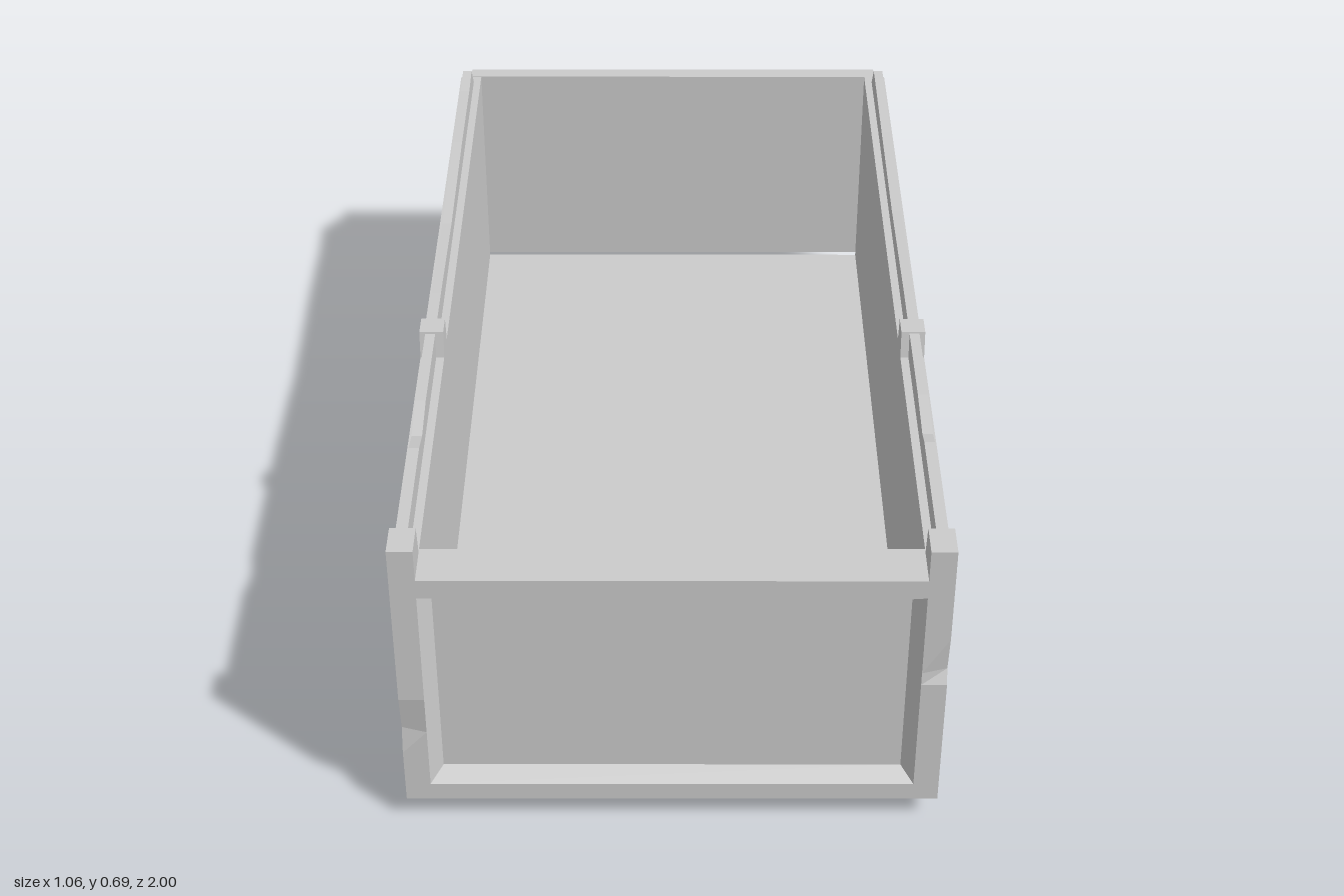
import * as THREE from 'three';

const material = new THREE.MeshStandardMaterial({ color: 0xcccccc, flatShading: true });

function add(parent, name, geometry) {
  const mesh = new THREE.Mesh(geometry, material);
  mesh.name = name;
  parent.add(mesh);
  return mesh;
}

// Box given by its min and max on each axis
function box(parent, name, x0, x1, y0, y1, z0, z1) {
  const g = new THREE.BoxGeometry(Math.abs(x1 - x0), y1 - y0, z1 - z0);
  g.translate((x0 + x1) / 2, (y0 + y1) / 2, (z0 + z1) / 2);
  return add(parent, name, g);
}

// Rectangle as a counter-clockwise ring at depth w; the top edge may sag at one point
function ring(u0, u1, v0, v1, w, sagU = 0, sagV = v1) {
  return [[u0, v0, w], [u1, v0, w], [u1, v1, w], [sagU, sagV, w], [u0, v1, w]];
}

// Skin a series of rings facing +w, closing the last one and optionally the first
function loft(rings, closeBack = true) {
  const p = [];
  const tri = (a, b, c) => p.push(...a, ...b, ...c);
  const n = rings[0].length;
  for (let r = 0; r + 1 < rings.length; r++) {
    for (let i = 0; i < n; i++) {
      const j = (i + 1) % n;
      const [a, b, c, d] = [rings[r][i], rings[r][j], rings[r + 1][j], rings[r + 1][i]];
      tri(a, b, c);
      tri(a, c, d);
    }
  }
  // fan from the sag point so the cap stays inside the outline
  const fan = (q, flip) => [[4, 0], [0, 1], [1, 2]].forEach(([a, b]) =>
    flip ? tri(q[3], q[b], q[a]) : tri(q[3], q[a], q[b]));
  fan(rings[rings.length - 1], false);
  if (closeBack) fan(rings[0], true);
  const g = new THREE.BufferGeometry();
  g.setAttribute('position', new THREE.Float32BufferAttribute(p, 3));
  g.computeVertexNormals();
  return g;
}

// Extrude a (z, y) outline sideways between two x values
function sideExtrude(points, xMin, xMax, hole) {
  const shape = new THREE.Shape(points.map(([z, y]) => new THREE.Vector2(z, y)));
  if (hole) shape.holes.push(new THREE.Path(hole.map(([z, y]) => new THREE.Vector2(z, y))));
  const g = new THREE.ExtrudeGeometry(shape, { depth: xMax - xMin, bevelEnabled: false });
  return g.rotateY(-Math.PI / 2).translate(xMax, 0, 0);
}

function sideExtrudeAt(points, side, inner, outer, hole) {
  return side > 0 ? sideExtrude(points, inner, outer, hole) : sideExtrude(points, -outer, -inner, hole);
}

function createSide(side) {
  const group = new THREE.Group();
  group.name = side > 0 ? 'leftSide' : 'rightSide';

  // Frame with chipped front edge, and chipped lower edge on one side
  const lowerChips = side > 0
    ? [[-0.27, 0.055], [-0.22, 0.083], [-0.1, 0.068], [0, 0.082], [0.05, 0.055],
      [0.55, 0.055], [0.64, 0.092], [0.73, 0.055]]
    : [];
  const frontChip = side > 0
    ? [[1, 0.36], [0.985, 0.39], [1, 0.475]]
    : [[1, 0.18], [0.985, 0.235], [1, 0.32]];
  const outline = [[-0.96, 0.055], ...lowerChips, [1, 0.055], ...frontChip, [1, 0.62], [-0.96, 0.62]];
  const opening = [[-0.875, 0.14], [-0.875, 0.585], [0.92, 0.585], [0.92, 0.14]];
  const frame = sideExtrudeAt(outline, side, 0.48, 0.53, opening);
  const pos = frame.attributes.position;
  for (let i = 0; i < pos.count; i++) {
    // chips run out to nothing at the inner face
    if (Math.abs(pos.getX(i)) < 0.5) {
      if (pos.getY(i) < 0.1) pos.setY(i, 0.055);
      if (pos.getZ(i) > 0.95) pos.setZ(i, 1);
    }
  }
  frame.computeVertexNormals();
  add(group, 'sideFrame', frame);

  // Sloped recess, with u running along -z on the left and +z on the right
  const span = (z0, z1) => (side > 0 ? [-z1, -z0] : [z0, z1]);
  const recess = loft([
    ring(...span(-0.875, 0.92), 0.14, 0.585, 0.53),
    ring(...span(-0.85, 0.895), 0.147, 0.557, 0.495),
  ], false);
  add(group, 'recessedPanel', recess.rotateY(side * Math.PI / 2));
  // Inner skin closing the wall behind the recess
  box(group, 'innerSkin', side * 0.48, side * 0.49, 0.1, 0.61, -0.93, 0.95);

  // Ribs and the long horizontal bar
  for (const z of [0.485, 0.035, -0.415]) {
    box(group, 'sideRib', side * 0.49, side * 0.526, 0.145, 0.58, z - 0.032, z + 0.032);
  }
  box(group, 'sideBar', side * 0.49, side * 0.515, 0.258, 0.292, -0.862, 0.9);

  // Worn top board
  const wear = side > 0
    ? [[-0.85, 0.675], [-0.6, 0.668], [-0.25, 0.662], [0.1, 0.675], [0.48, 0.675], [0.6, 0.665], [0.64, 0.675]]
    : [[-0.8, 0.668], [-0.55, 0.67], [-0.2, 0.66], [0.1, 0.672], [0.5, 0.675], [0.6, 0.66], [0.66, 0.675]];
  const board = [[-0.935, 0.62], [-0.89, 0.675], ...wear, [0.93, 0.675], [0.93, 0.62]];
  add(group, 'topBoard', sideExtrudeAt(board, side, 0.497, 0.518));

  // Corner and middle stake posts
  add(group, 'cornerPost', sideExtrudeAt(
    [[0.915, 0.62], [1, 0.62], [1, 0.69], [0.93, 0.69]], side, 0.48, 0.53));
  add(group, 'middlePost', sideExtrudeAt(
    [[0.2, 0.62], [0.27, 0.62], [0.26, 0.678], [0.21, 0.678]], side, 0.48, 0.53));

  // Tailgate hinges
  for (const y of [0.13, 0.51]) {
    box(group, 'hinge', side * 0.495, side * 0.528, y, y + 0.075, -0.985, -0.95);
  }
  return group;
}

export function createModel() {
  const model = new THREE.Group();
  model.name = 'cargoBed';

  for (const side of [1, -1]) model.add(createSide(side));

  // Front panel with sagging recess
  add(model, 'frontPanel', loft([
    ring(-0.48, 0.48, 0.055, 0.62, 0.905),
    ring(-0.48, 0.48, 0.055, 0.62, 1),
    ring(-0.48, 0.48, 0.095, 0.578, 1, 0.32, 0.567),
    ring(-0.455, 0.455, 0.12, 0.554, 0.97, 0.32, 0.544),
  ]));

  // Floor and tapered underbody
  box(model, 'floor', -0.48, 0.48, 0.055, 0.093, -0.96, 0.905);
  add(model, 'underbody', loft([
    ring(-0.445, 0.445, -0.91, 0.97, -0.056),
    ring(-0.4, 0.4, -0.85, 0.91, 0),
  ]).rotateX(Math.PI / 2));

  // Tailgate with recess, ribs and bar
  const tailgate = new THREE.Group();
  tailgate.name = 'tailgate';
  model.add(tailgate);
  add(tailgate, 'gatePanel', loft([
    ring(-0.505, 0.505, 0.1, 0.62, 0.962),
    ring(-0.505, 0.505, 0.1, 0.62, 1),
    ring(-0.45, 0.45, 0.14, 0.582, 1),
    ring(-0.43, 0.43, 0.16, 0.56, 0.972),
  ]).rotateY(Math.PI));
  for (const x of [-0.14, 0.14]) {
    box(tailgate, 'gateRib', x - 0.03, x + 0.03, 0.145, 0.578, -0.998, -0.97);
  }
  box(tailgate, 'gateBar', -0.44, 0.44, 0.258, 0.292, -0.99, -0.97);

  return model;
}
